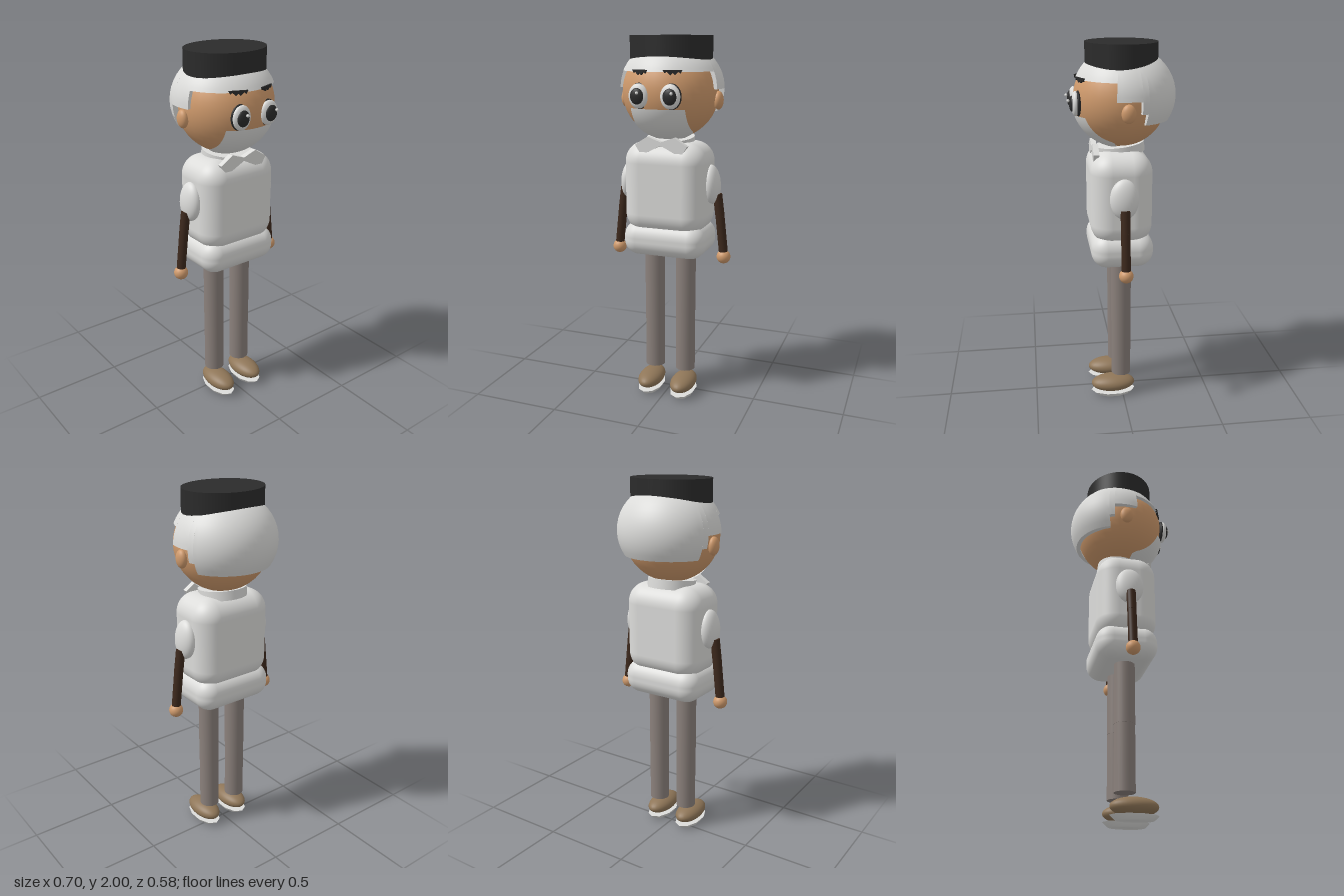
import * as THREE from 'three';
import { toCreasedNormals } from 'three/addons/utils/BufferGeometryUtils.js';
import { RoundedBoxGeometry } from 'three/addons/geometries/RoundedBoxGeometry.js';
import { ParametricGeometry } from 'three/addons/geometries/ParametricGeometry.js';

function material(name, color, side = THREE.FrontSide) {
  const m = new THREE.MeshStandardMaterial({ color, side });
  m.name = name;
  return m;
}

// Hair shell: columns around the head, each ending at a stepped lower edge
function hairGeometry() {
  const sections = [
    [-180, -110, 1.605], [-110, -103, 1.665], [-103, -75, 1.73], [-75, 75, 1.82],
    [75, 103, 1.73], [103, 110, 1.665], [110, 180, 1.605],
  ];
  const rows = 16, pos = [], index = [];
  let cols = 0;
  for (const [from, to, bottom] of sections) {
    const n = Math.ceil((to - from) / 5);
    for (let i = 0; i <= n; i++, cols++) {
      const phi = THREE.MathUtils.degToRad(from + (to - from) * i / n);
      const low = Math.asin((bottom - 1.73) / 0.25);
      for (let j = -1; j <= rows; j++) {
        const e = low + (Math.PI / 2 - low) * Math.max(j, 0) / rows;
        const r = Math.cos(e) * (j < 0 ? 0.9 : 1); // first row turns inward as a rim
        pos.push(0.28 * r * Math.sin(phi), 1.73 + 0.25 * Math.sin(e), -0.02 + 0.27 * r * Math.cos(phi));
      }
    }
  }
  const h = rows + 2;
  for (let i = 0; i < cols - 1; i++) {
    for (let j = 0; j < h - 1; j++) {
      const a = i * h + j, b = a + h;
      index.push(a, b, a + 1, b, b + 1, a + 1);
    }
  }
  const g = new THREE.BufferGeometry();
  g.setAttribute('position', new THREE.Float32BufferAttribute(pos, 3));
  g.setIndex(index);
  return toCreasedNormals(g, 0.6);
}

// Beard: a patch following the lower front of the face
function beardGeometry() {
  const R = 0.257;
  return new ParametricGeometry((u, v, p) => {
    const y = 1.468 + 0.167 * v;
    const r = Math.sqrt(R * R - (y - 1.71) ** 2);
    const x = (2 * u - 1) * Math.min(0.147, r * 0.95);
    p.set(x * 1.01, y, Math.sqrt(r * r - x * x));
  }, 24, 16);
}

function plate(points, depth) {
  const shape = new THREE.Shape(points.map(([x, y]) => new THREE.Vector2(x, y)));
  return new THREE.ExtrudeGeometry(shape, { depth, bevelEnabled: false });
}

export function createModel() {
  const root = new THREE.Group();
  root.name = 'figure';
  const white = material('softWhite', 0xdcdcda, THREE.DoubleSide);
  const skin = material('skin', 0xcf9a6c);
  const black = material('black', 0x2b2b2b);
  const sleeve = material('darkBrown', 0x3c281c);
  const trouser = material('warmGrey', 0x8a807b);
  const leather = material('shoeBrown', 0x8f7658);

  const add = (name, geo, mat, x = 0, y = 0, z = 0) => {
    const m = new THREE.Mesh(geo, mat);
    m.name = name;
    m.position.set(x, y, z);
    root.add(m);
    return m;
  };
  const ball = (name, mat, x, y, z, rx, ry = rx, rz = rx) => {
    const m = add(name, new THREE.SphereGeometry(1, 32, 24), mat, x, y, z);
    m.scale.set(rx, ry, rz);
    return m;
  };
  // Cylinder between two points
  const rod = (name, mat, a, b, r) => {
    const p = new THREE.Vector3(...a), q = new THREE.Vector3(...b);
    const d = q.clone().sub(p);
    const m = add(name, new THREE.CylinderGeometry(r, r, d.length(), 24), mat);
    m.position.copy(p).add(q).multiplyScalar(0.5);
    m.quaternion.setFromUnitVectors(new THREE.Vector3(0, 1, 0), d.normalize());
    return m;
  };

  // Head, hair and hat
  ball('head', skin, 0, 1.71, 0, 0.258, 0.25, 0.248);
  add('hair', hairGeometry(), white);
  add('beard', beardGeometry(), white);
  const hat = add('hat', new THREE.CylinderGeometry(1, 1, 0.15, 64), black, 0, 1.925, -0.006);
  hat.scale.set(0.223, 1, 0.189);

  // Torso, hem and collar
  add('torso', new RoundedBoxGeometry(0.46, 0.5, 0.33, 8, 0.11), white, 0, 1.2, 0.01);
  add('hem', new RoundedBoxGeometry(0.465, 0.19, 0.335, 8, 0.085), white, 0, 0.917, 0.008);
  const collar = add('collar', new THREE.CylinderGeometry(0.13, 0.13, 0.05, 40), white, 0, 1.448, 0);
  collar.rotation.x = 0.12;

  for (const s of [-1, 1]) {
    const side = s > 0 ? 'left' : 'right';

    // Face details
    ball(side + 'Ear', skin, s * 0.262, 1.67, -0.01, 0.026, 0.048, 0.037);
    ball(side + 'EyeRim', black, s * 0.086, 1.7, 0.227, 0.056, 0.066, 0.016);
    ball(side + 'EyeWhite', white, s * 0.086, 1.7, 0.241, 0.053, 0.063, 0.024);
    ball(side + 'Pupil', black, s * 0.088, 1.7, 0.256, 0.037, 0.042, 0.018);
    ball(side + 'EyeGlint', white, 0.013 + s * 0.092, 1.718, 0.279, 0.008);
    const brow = add(side + 'Brow', plate([
      [-0.05, 0.012], [-0.04, -0.004], [-0.03, 0.003], [-0.012, -0.014], [0, -0.002],
      [0.012, -0.014], [0.03, 0.003], [0.04, -0.006], [0.05, 0.012],
    ], 0.009), black, s * 0.087, 1.818, 0.211);
    brow.rotation.y = s * 0.38;

    // Bow tie wing
    add(side + 'BowWing', plate([
      [0, 1.458], [s * 0.075, 1.485], [s * 0.145, 1.44], [s * 0.11, 1.385], [0, 1.44],
    ], 0.03), white, 0, 0, 0.126);

    // Arm
    const shoulder = ball(side + 'Shoulder', white, s * 0.238, 1.225, 0.008, 0.045, 0.106, 0.076);
    shoulder.rotation.z = s * 0.08;
    rod(side + 'UpperArm', sleeve, [s * 0.27, 1.175, 0.008], [s * 0.286, 1.055, 0.008], 0.025);
    rod(side + 'Forearm', sleeve, [s * 0.286, 1.055, 0.008], [s * 0.309, 0.85, 0.008], 0.0245);
    ball(side + 'Hand', skin, s * 0.31, 0.828, 0.008, 0.038);

    // Leg
    rod(side + 'Thigh', trouser, [s * 0.092, 0.87, 0.008], [s * 0.092, 0.488, 0.008], 0.056);
    rod(side + 'Shin', trouser, [s * 0.092, 0.488, 0.008], [s * 0.092, 0.135, 0.008], 0.055);

    // Shoe and sole
    ball(side + 'Shoe', leather, s * 0.098, 0.068, 0.055, 0.069, 0.048, 0.125);
    const soleGeo = toCreasedNormals(new THREE.CylinderGeometry(1, 0.78, 0.025, 10), 0.3);
    const sole = add(side + 'Sole', soleGeo, white, s * 0.098, 0.0125, 0.055);
    sole.scale.set(0.07, 1, 0.127);
  }
  return root;
}
